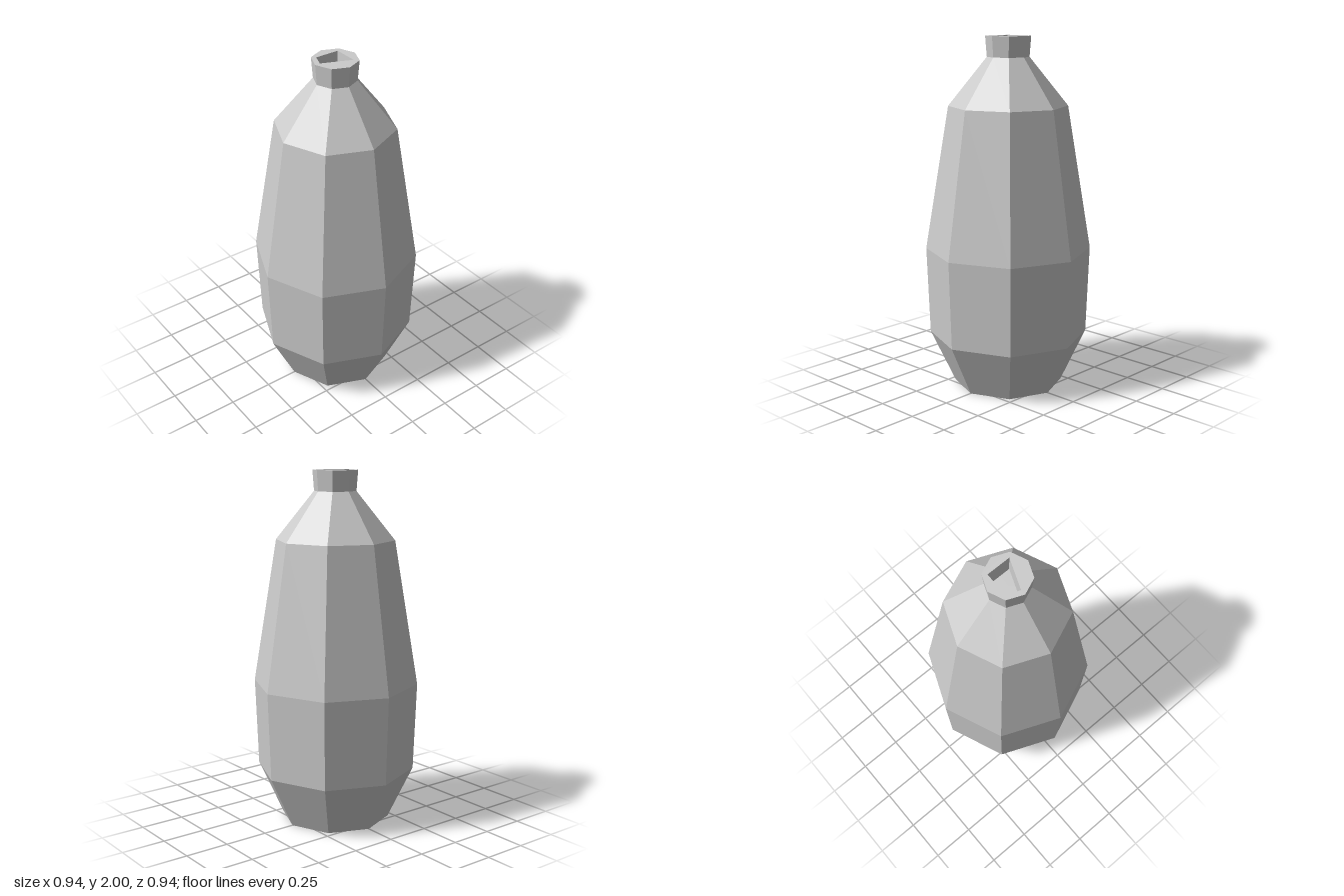
import * as THREE from 'three';

const SIDES = 8;
const NECK_BASE = 1.885;
const NECK_TOP = 2;

export function createModel() {
  const group = new THREE.Group();
  group.name = 'bottle';
  const material = new THREE.MeshStandardMaterial({ color: 0xcccccc, flatShading: true });

  // Eight-sided body with a flat base; its closed top is the floor of the mouth
  const profile = [
    [0, 0], [0.31, 0], [0.452, 0.3], [0.47, 0.8],
    [0.335, 1.615], [0.118, NECK_BASE], [0, NECK_BASE],
  ].map(([r, y]) => new THREE.Vector2(r, y));
  const body = new THREE.Mesh(new THREE.LatheGeometry(profile, SIDES), material);
  body.name = 'body';
  group.add(body);

  // Octagonal neck with an uneven four-sided mouth
  const outline = new THREE.Shape();
  outline.setFromPoints(Array.from({ length: SIDES }, (_, i) => {
    const a = (i / SIDES) * Math.PI * 2;
    return new THREE.Vector2(Math.cos(a) * 0.127, Math.sin(a) * 0.127);
  }));
  const mouth = new THREE.Path();
  mouth.setFromPoints([[-0.07, 0.07], [0.068, 0.07], [0.068, -0.067], [-0.097, 0]]
    .map(([x, y]) => new THREE.Vector2(x, y)));
  outline.holes.push(mouth);

  const neckGeometry = new THREE.ExtrudeGeometry(outline, {
    depth: NECK_TOP - NECK_BASE, bevelEnabled: false,
  });
  neckGeometry.rotateX(-Math.PI / 2);

  // Narrow the neck slightly towards the shoulder
  const p = neckGeometry.attributes.position;
  for (let i = 0; i < p.count; i++) {
    if (p.getY(i) < 0.01) p.setXYZ(i, p.getX(i) * 0.93, p.getY(i), p.getZ(i) * 0.93);
  }
  neckGeometry.computeVertexNormals();
  const neck = new THREE.Mesh(neckGeometry, material);
  neck.name = 'neck';
  neck.position.y = NECK_BASE;
  group.add(neck);

  return group;
}
